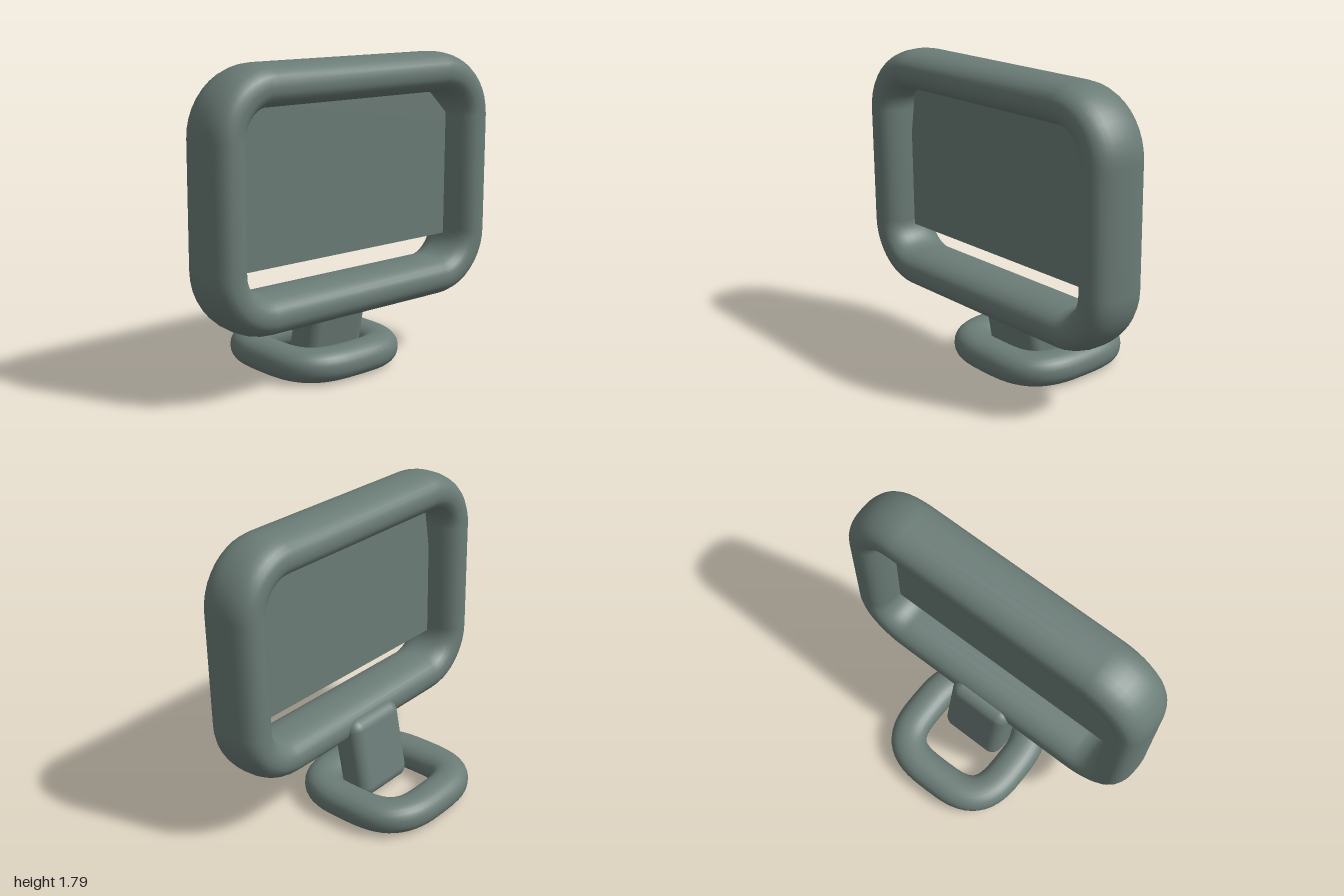
import * as THREE from 'three';
import { RoundedBoxGeometry } from 'three/addons/geometries/RoundedBoxGeometry.js';

// Signed power, used for superellipse curves
const spow = (v, p) => Math.sign(v) * Math.pow(Math.abs(v), p);

// Rounded rectangle centreline: stations of position and outward normal
function roundedRectPath(halfW, halfH, r, steps = 10) {
  const path = [];
  [[1, 1], [-1, 1], [-1, -1], [1, -1]].forEach(([sx, sy], q) => {
    for (let i = 0; i <= steps; i++) {
      const a = (q + i / steps) * Math.PI / 2;
      const nx = Math.cos(a), ny = Math.sin(a);
      path.push({ x: sx * (halfW - r) + r * nx, y: sy * (halfH - r) + r * ny, nx, ny });
    }
  });
  return path;
}

// Superellipse centreline
function superellipsePath(half, n, steps = 56) {
  const path = [];
  for (let i = 0; i < steps; i++) {
    const a = (i / steps) * Math.PI * 2;
    const u = spow(Math.cos(a), 2 / n), v = spow(Math.sin(a), 2 / n);
    const gx = spow(u, n - 1), gy = spow(v, n - 1), len = Math.hypot(gx, gy);
    path.push({ x: half * u, y: half * v, nx: gx / len, ny: gy / len });
  }
  return path;
}

// Closed ring: sweeps a soft oval section (a across, b deep) around a path in XY
function ringGeometry(path, a, b, n, sides = 28) {
  const pos = [], index = [];
  path.forEach((p, i) => {
    const next = (i + 1) % path.length;
    for (let j = 0; j < sides; j++) {
      const t = (j / sides) * Math.PI * 2;
      const out = a * spow(Math.cos(t), 2 / n);
      pos.push(p.x + p.nx * out, p.y + p.ny * out, b * spow(Math.sin(t), 2 / n));
      const k = (j + 1) % sides;
      const A = i * sides + j, B = next * sides + j, C = next * sides + k, D = i * sides + k;
      index.push(A, B, C, A, C, D);
    }
  });
  const geo = new THREE.BufferGeometry();
  geo.setAttribute('position', new THREE.Float32BufferAttribute(pos, 3));
  geo.setIndex(index);
  geo.computeVertexNormals();
  return geo;
}

export function createModel() {
  const model = new THREE.Group();
  model.name = 'monitor';
  const grey = new THREE.MeshStandardMaterial({ color: 0x6b7c77, side: THREE.DoubleSide });
  grey.name = 'slate grey';

  const add = (name, geo, x, y, z) => {
    const mesh = new THREE.Mesh(geo, grey);
    mesh.name = name;
    mesh.position.set(x, y, z);
    model.add(mesh);
    return mesh;
  };

  // Thick screen surround, facing +x
  const frame = ringGeometry(roundedRectPath(0.885, 0.6, 0.26), 0.115, 0.181, 2.3);
  add('screenFrame', frame.rotateY(Math.PI / 2), 0.276, 1.077, 0);

  // Flat screen with clipped upper corners; shape x runs along -z
  const outline = [[-0.84, 0.705], [0.84, 0.705], [0.84, 1.365], [0.59, 1.6], [-0.717, 1.6], [-0.83, 0.91]];
  const screen = new THREE.ShapeGeometry(new THREE.Shape(outline.map(([x, y]) => new THREE.Vector2(x, y))));
  add('screenPanel', screen.rotateY(Math.PI / 2), 0.28, 0, 0);

  // Leaning neck
  const neck = add('neck', new RoundedBoxGeometry(0.21, 0.5, 0.415, 5, 0.07), 0.11, 0.27, -0.005);
  neck.rotation.z = -0.18;

  // Open ring foot
  const foot = ringGeometry(superellipsePath(0.334, 3.2), 0.111, 0.094, 2.2);
  add('footRing', foot.rotateX(-Math.PI / 2), -0.02, 0.095, -0.01);

  return model;
}
